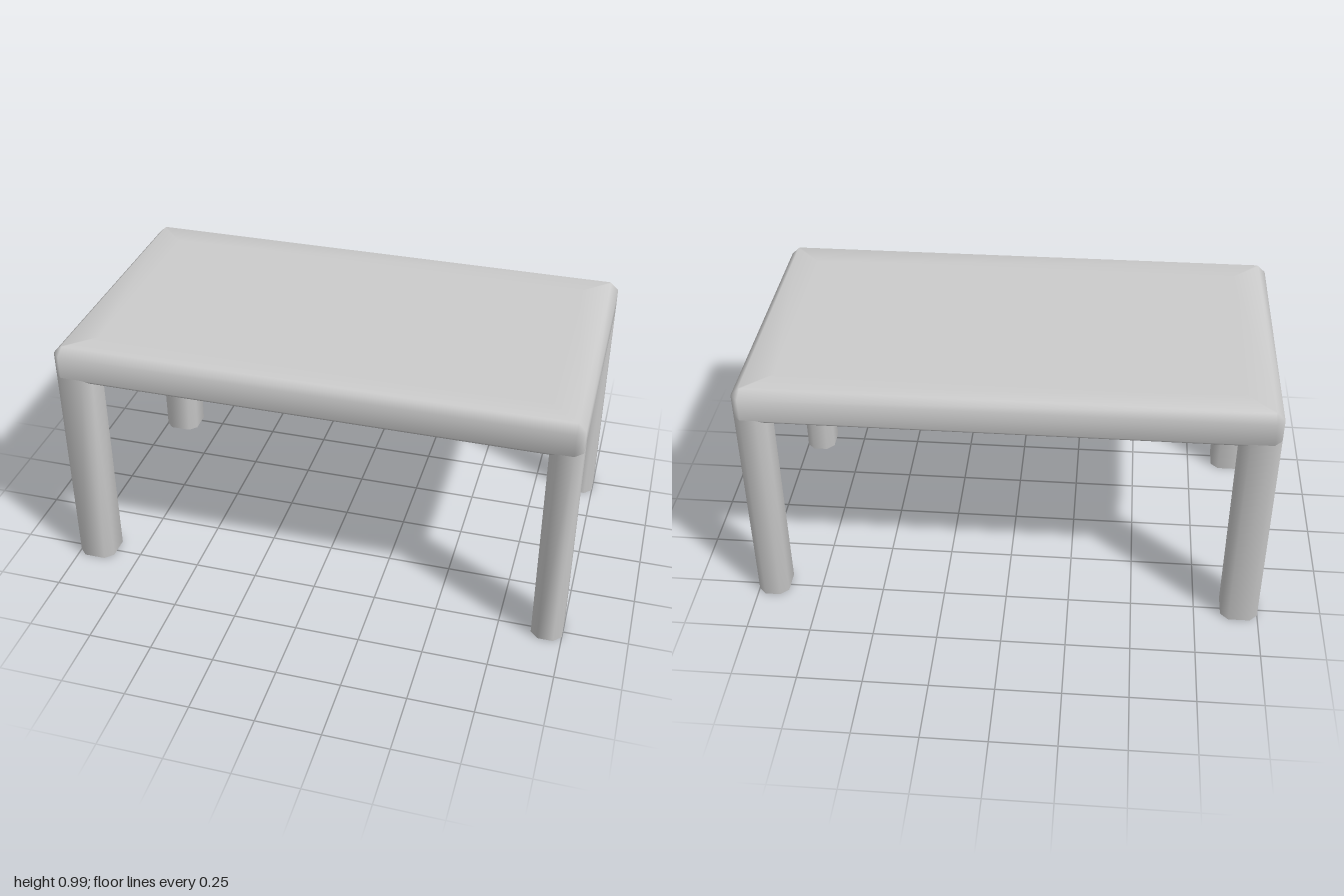
import * as THREE from 'three';

// Rectangle with cut corners, counted so that side faces point outward
function ring(x0, x1, z0, z1, y, c) {
  return [
    [x0 + c, y, z1], [x1 - c, y, z1], [x1, y, z1 - c], [x1, y, z0 + c],
    [x1 - c, y, z0], [x0 + c, y, z0], [x0, y, z0 + c], [x0, y, z1 - c],
  ];
}

// Joins rings from bottom to top with shared vertices for soft shading
function loft(rings, capTop) {
  const n = 8, pos = rings.flat(2), idx = [];
  for (let r = 0; r < rings.length - 1; r++) {
    for (let i = 0; i < n; i++) {
      const a = r * n + i, b = r * n + (i + 1) % n;
      idx.push(a, b, b + n, a, b + n, a + n);
    }
  }
  const last = (rings.length - 1) * n;
  for (let i = 1; i < n - 1; i++) {
    idx.push(0, i + 1, i);
    if (capTop) idx.push(last, last + i, last + i + 1);
  }
  const g = new THREE.BufferGeometry();
  g.setAttribute('position', new THREE.Float32BufferAttribute(pos, 3));
  g.setIndex(idx);
  g.computeVertexNormals();
  return g;
}

export function createModel() {
  const group = new THREE.Group();
  group.name = 'table';
  const material = new THREE.MeshStandardMaterial({ color: 0xcccccc });
  const add = (name, geometry) => {
    const mesh = new THREE.Mesh(geometry, material);
    mesh.name = name;
    group.add(mesh);
  };

  const W = 1, D = 0.56, BEVEL = 0.03;
  const UNDER = 0.845, JOIN = 0.865, TOP = 0.985;

  // Table top: [inset, height, corner cut] from underside to upper face
  const steps = [
    [0.14, UNDER, 0.01], [0.02, UNDER, 0.01], [0, JOIN, BEVEL],
    [0, TOP - BEVEL, BEVEL], [BEVEL, TOP, 0.006], [0.14, TOP, 0.006],
  ];
  add('tableTop', loft(steps.map(([s, y, c]) => ring(-W + s, W - s, -D + s, D - s, y, c)), true));

  // Four legs, flush with the outer corners; the right pair is a little wider
  for (const sx of [-1, 1]) {
    const inner = sx < 0 ? 0.855 : 0.88;
    const [x0, x1] = sx < 0 ? [-W, -inner] : [inner, W];
    for (const sz of [-1, 1]) {
      const [z0, z1] = sz < 0 ? [-D, -0.41] : [0.41, D];
      const name = (sz > 0 ? 'front' : 'back') + (sx > 0 ? 'Left' : 'Right') + 'Leg';
      add(name, loft([0, JOIN].map((y) => ring(x0, x1, z0, z1, y, BEVEL)), false));
    }
  }
  return group;
}
